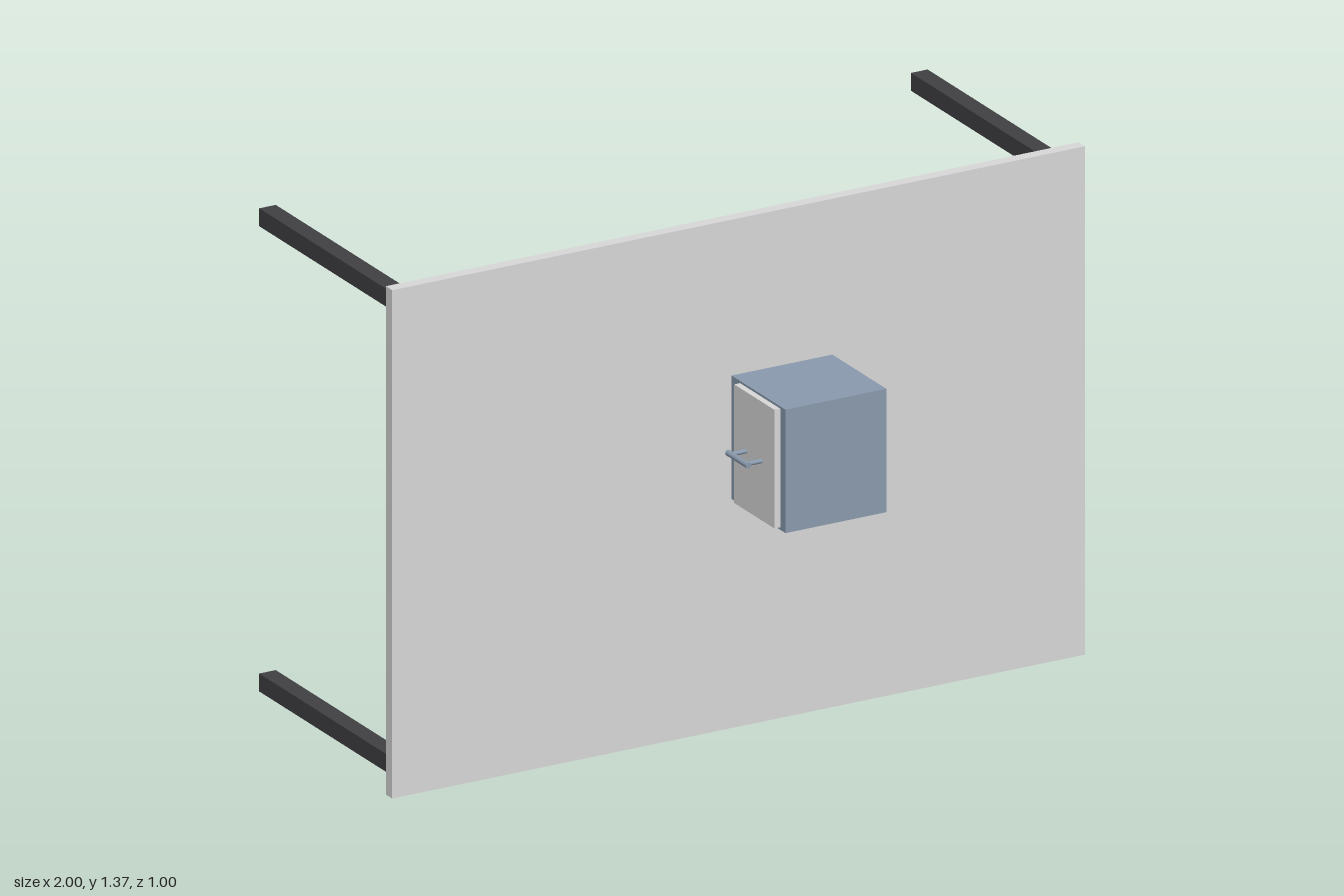
import * as THREE from 'three';

export function createModel() {
  const model = new THREE.Group();
  const lightGrey = new THREE.MeshStandardMaterial({ color: 0xd8d8d8 });
  lightGrey.name = 'lightGrey';
  const slate = new THREE.MeshStandardMaterial({ color: 0x8a9aae });
  slate.name = 'slateBlue';
  const charcoal = new THREE.MeshStandardMaterial({ color: 0x404044 });
  charcoal.name = 'charcoal';

  const add = (name, geometry, material, x, y, z, parent = model) => {
    const mesh = new THREE.Mesh(geometry, material);
    mesh.name = name;
    mesh.position.set(x, y, z);
    parent.add(mesh);
    return mesh;
  };
  // box given by its min and max corners
  const box = (name, material, [x0, y0, z0], [x1, y1, z1]) =>
    add(name, new THREE.BoxGeometry(x1 - x0, y1 - y0, z1 - z0), material,
      (x0 + x1) / 2, (y0 + y1) / 2, (z0 + z1) / 2);

  // table top standing on its long edge
  box('tableTop', lightGrey, [-1, 0, 0.198], [1, 1.367, 0.23]);

  // four square legs reaching back
  for (const x of [-0.941, 0.941])
    for (const y of [0.058, 1.309])
      add('leg', new THREE.BoxGeometry(0.048, 0.048, 0.7), charcoal, x, y, -0.152);

  // cabinet passing through the top
  box('cabinet', slate, [-0.02, 0.616, 0.084], [0.271, 0.948, 0.502]);

  // drawer front on the cabinet's right side
  box('drawerFront', lightGrey, [-0.037, 0.623, 0.273], [-0.02, 0.942, 0.476]);

  // handle: a round bar on two posts
  const handle = new THREE.Group();
  handle.name = 'handle';
  model.add(handle);
  add('handleBar', new THREE.CylinderGeometry(0.008, 0.008, 0.104, 16), slate,
    -0.082, 0.783, 0.372, handle).rotation.x = Math.PI / 2;
  for (const z of [0.333, 0.411])
    add('handlePost', new THREE.CylinderGeometry(0.006, 0.006, 0.046, 12), slate,
      -0.059, 0.783, z, handle).rotation.z = Math.PI / 2;

  return model;
}
